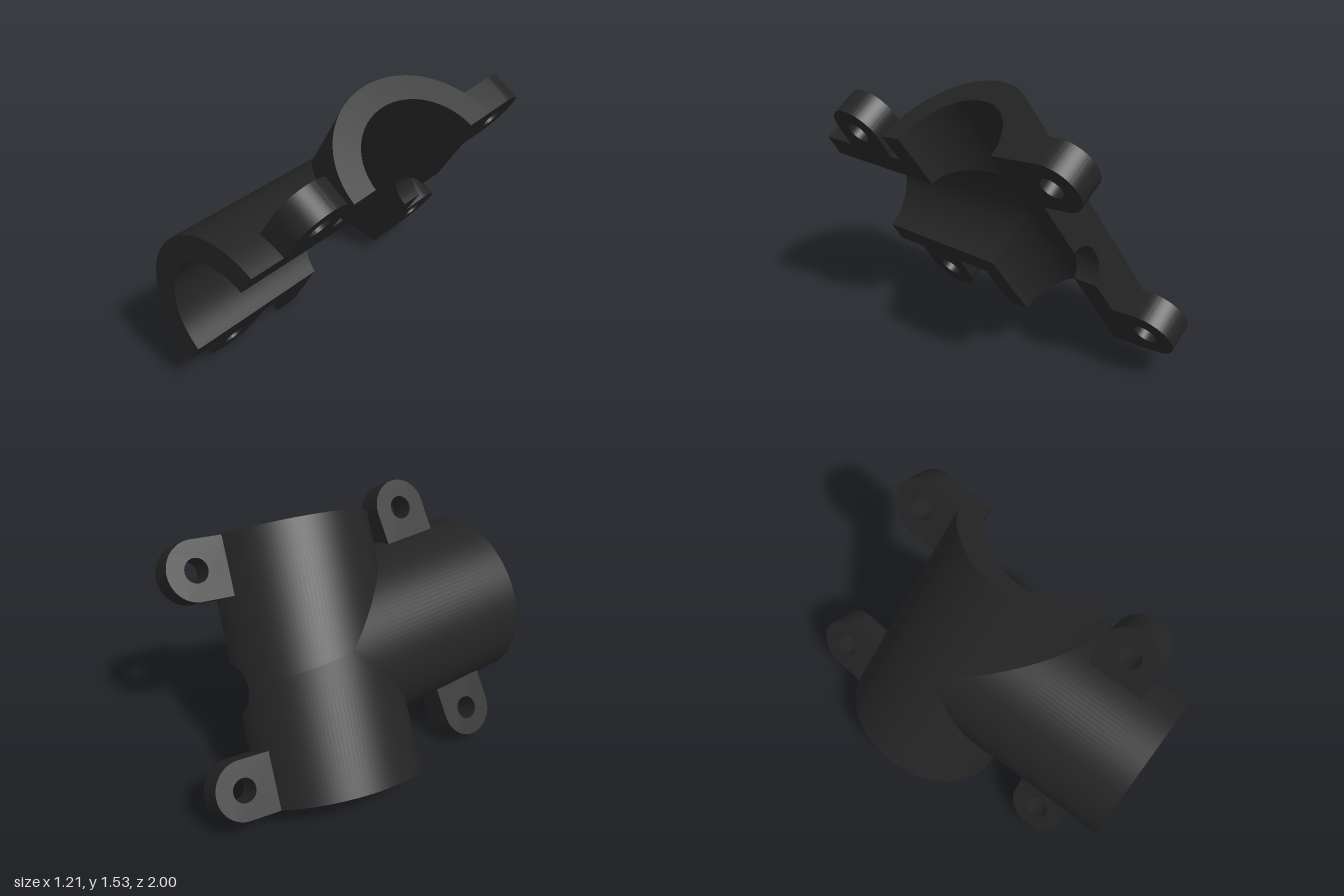
import * as THREE from 'three';
import { mergeGeometries, toCreasedNormals } from 'three/addons/utils/BufferGeometryUtils.js';

// Local frame: x along the split face, y away from it, z along the branch pipe.
const R_OUT = 0.48, R_IN = 0.34, SPLIT = 0.02, NOTCH = 0.135;
const HALF = 0.73, BRANCH_END = 1.145, TILT = 0.144;
const C = Math.cos(TILT), S = Math.sin(TILT);
const V = (x, y, z) => new THREE.Vector3(x, y, z);
const axis = V(C, 0, S), across = V(-S, 0, C), up = V(0, 1, 0);

const material = new THREE.MeshStandardMaterial({ color: 0x242424, side: THREE.DoubleSide });

// Ruled sheet between two equally long rows of points
function strip(a, b, flip) {
  if (flip) [a, b] = [b, a];
  const pos = [], idx = [];
  a.forEach((p, i) => {
    pos.push(...p.toArray(), ...b[i].toArray());
    const k = 2 * i;
    if (i < a.length - 1) idx.push(k, k + 1, k + 2, k + 2, k + 1, k + 3);
  });
  const g = new THREE.BufferGeometry();
  g.setAttribute('position', new THREE.Float32BufferAttribute(pos, 3));
  g.setIndex(idx);
  g.computeVertexNormals();
  return g;
}

// Half-pipe wall: each ring is { near, far }; near ends may be mitred
function shell(outer, inner, flip, notchSteps) {
  const last = outer.near.length - 1;
  const ends = (r, i) => [r.near[i], r.far[i]];
  const parts = [
    strip(outer.far, outer.near, flip),
    strip(inner.near, inner.far, flip),
    strip(inner.far, outer.far, flip),
    strip(ends(inner, 0), ends(outer, 0), flip),
    strip(ends(outer, last), ends(inner, last), flip),
  ];
  if (notchSteps) {
    const n = notchSteps + 1;
    parts.push(strip(outer.near.slice(0, n), inner.near.slice(0, n), flip));
  }
  return mergeGeometries(parts);
}

// Branch pipe, mitred against the main pipe along the bisector planes
function branchRing(r) {
  const near = [], far = [], a0 = Math.asin(SPLIT / r), steps = 64;
  for (let i = 0; i <= steps; i++) {
    const t = a0 + (Math.PI - 2 * a0) * i / steps;
    const x = r * Math.cos(t), y = r * Math.sin(t);
    near.push(V(x, y, x > 0 ? x * (1 + S) / C : -x * (1 - S) / C));
    far.push(V(x, y, BRANCH_END));
  }
  return { near, far };
}

// One half of the main pipe (k = 1 upper, -1 lower), with half of the rear notch
const NOTCH_STEPS = 12;
function mainRing(r, k) {
  const near = [], far = [], steps = 64;
  const add = (p, y, d) => {
    near.push(V(0, y, 0).addScaledVector(across, p).addScaledVector(axis, d));
    far.push(V(0, y, 0).addScaledVector(across, p).addScaledVector(axis, k * HALF));
  };
  const t0 = Math.asin(SPLIT / NOTCH);
  for (let i = 0; i <= NOTCH_STEPS; i++) {
    const t = t0 + (Math.PI / 2 - t0) * i / NOTCH_STEPS;
    const y = NOTCH * Math.sin(t), p = -Math.sqrt(r * r - y * y);
    add(p, y, (k * NOTCH * Math.cos(t) + p * S) / C);
  }
  const a0 = Math.asin(NOTCH / r), a1 = Math.PI - Math.asin(SPLIT / r);
  for (let i = 1; i <= steps; i++) {
    const t = a0 + (a1 - a0) * i / steps;
    const p = -r * Math.cos(t), y = r * Math.sin(t);
    add(p, y, p > 0 ? k * p * (1 + k * S) / C : p * S / C);
  }
  return { near, far };
}

// Round-ended bolt lug, x pointing outwards from the pipe
function lugGeometry() {
  const w = 0.16, root = 0.4, hole = 0.62;
  const s = new THREE.Shape();
  s.moveTo(root, -w);
  s.lineTo(hole, -w);
  s.absarc(hole, 0, w, -Math.PI / 2, Math.PI / 2, false);
  s.lineTo(root, w);
  s.closePath();
  s.holes.push(new THREE.Path().absarc(hole, 0, 0.065, 0, Math.PI * 2, true));
  const g = new THREE.ExtrudeGeometry(s, { depth: 0.16, bevelEnabled: false, curveSegments: 28 });
  return toCreasedNormals(g, 0.6);
}

export function createModel() {
  const body = new THREE.Group();
  body.name = 'pipeClampHalf';
  const add = (name, geometry) => {
    const m = new THREE.Mesh(geometry, material);
    m.name = name;
    body.add(m);
    return m;
  };

  add('branchPipe', shell(branchRing(R_OUT), branchRing(R_IN), false));
  for (const k of [1, -1]) {
    add(k > 0 ? 'mainPipeUpper' : 'mainPipeLower',
      shell(mainRing(R_OUT, k), mainRing(R_IN, k), k < 0, NOTCH_STEPS));
  }

  // Two lugs beside the branch, two behind the main pipe
  const lug = lugGeometry();
  const placeLug = (name, out, centre) => {
    const m = add(name, lug);
    const side = up.clone().cross(out);
    m.quaternion.setFromRotationMatrix(new THREE.Matrix4().makeBasis(out, side, up));
    m.position.copy(centre).setY(SPLIT);
  };
  for (const k of [1, -1]) {
    const level = k > 0 ? 'Upper' : 'Lower';
    placeLug('branchLug' + level, V(k, 0, 0), V(0, 0, 0.785));
    placeLug('mainLug' + level, across.clone().negate(), axis.clone().multiplyScalar(k * 0.57));
  }

  body.rotation.z = THREE.MathUtils.degToRad(57.7);
  body.position.set(0.185, 0.665, -0.145);
  const model = new THREE.Group();
  model.name = 'teeClamp';
  model.add(body);
  return model;
}
